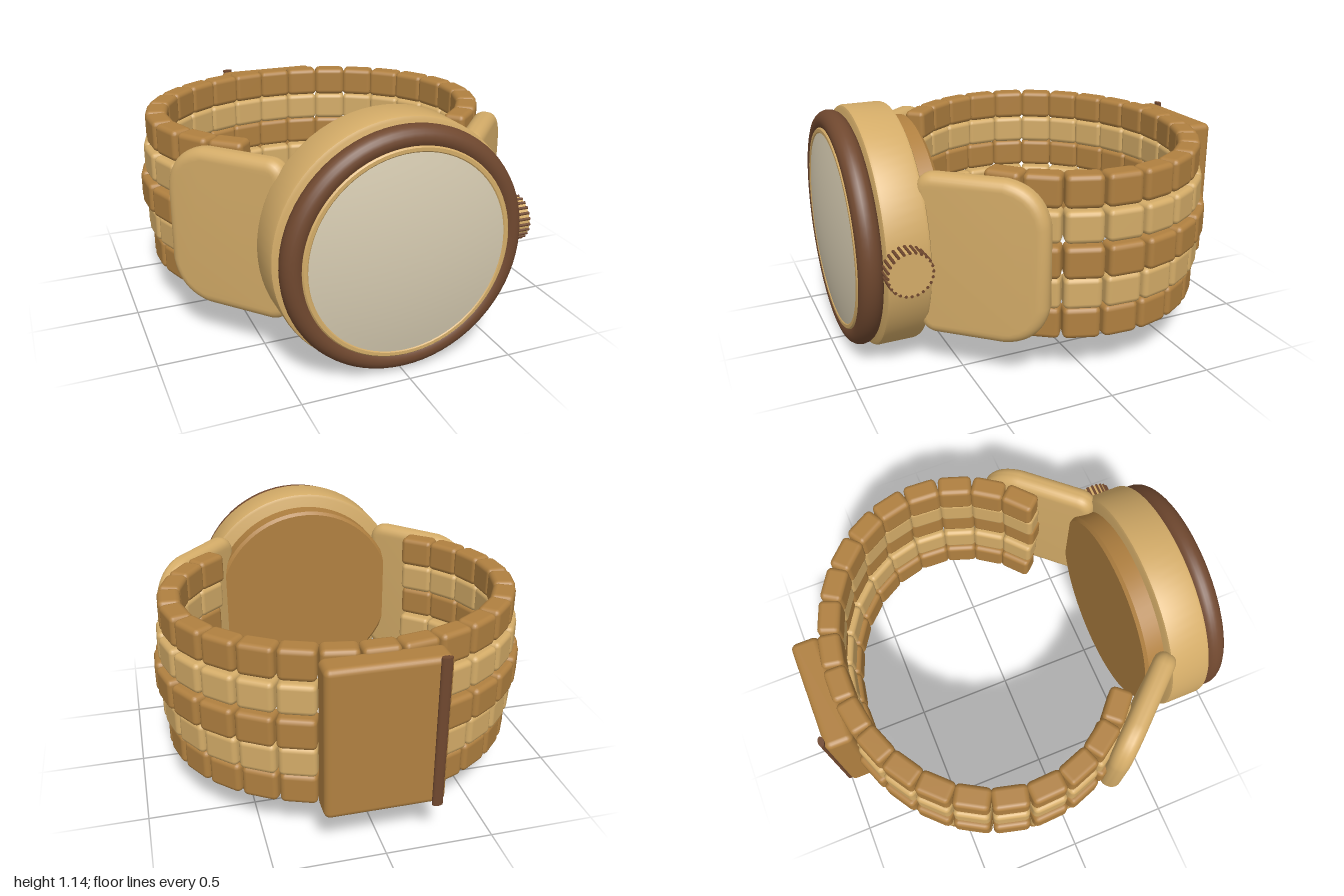
import * as THREE from 'three';
import { RoundedBoxGeometry } from 'three/addons/geometries/RoundedBoxGeometry.js';
import { toCreasedNormals } from 'three/addons/utils/BufferGeometryUtils.js';

const CY = 0.572; // height of the dial axis

function material(name, color) {
  const m = new THREE.MeshStandardMaterial({ color });
  m.name = name;
  return m;
}

export function createModel() {
  const model = new THREE.Group();
  model.name = 'wristwatch';
  const lightGold = material('light gold', 0xd4ac68);
  const darkGold = material('dark gold', 0xb08040);
  const brown = material('brown', 0x70482f);
  const cream = material('cream', 0xd5cab0);

  function add(name, geometry, mat, parent = model) {
    const mesh = new THREE.Mesh(geometry, mat);
    mesh.name = name;
    parent.add(mesh);
    return mesh;
  }

  // Turned part on the dial axis; profile points are [radius, z], back to front
  function turned(name, profile, mat) {
    const pts = profile.map(([r, z]) => new THREE.Vector2(r, z));
    const geo = toCreasedNormals(new THREE.LatheGeometry(pts, 72), 0.6);
    geo.rotateX(Math.PI / 2);
    add(name, geo, mat).position.y = CY;
  }

  // Case, back plate, bezel, inner ring and domed glass
  turned('backPlate', [[0, 0.55], [0.485, 0.55], [0.5, 0.565], [0.5, 0.66]], darkGold);
  turned('case', [[0, 0.65], [0.555, 0.65], [0.568, 0.656], [0.572, 0.668],
    [0.572, 0.835], [0.568, 0.846], [0.555, 0.852], [0, 0.852]], lightGold);
  const bezel = [];
  for (let i = 0; i <= 16; i++) {
    const a = -Math.PI / 2 + (i / 16) * Math.PI * 1.5;
    bezel.push([0.503 + 0.052 * Math.cos(a), 0.904 + 0.054 * Math.sin(a)]);
  }
  turned('bezel', bezel, brown);
  turned('innerRing', [[0.476, 0.86], [0.476, 0.952], [0.47, 0.958], [0.455, 0.958], [0.445, 0.95]], lightGold);
  const dome = [];
  for (let i = 0; i <= 10; i++) {
    const r = 0.452 * (1 - i / 10);
    dome.push([r, 0.954 + 0.046 * (1 - (r / 0.452) ** 2)]);
  }
  turned('glass', dome, cream);

  // Winding crown with ribs around its rim
  const crown = new THREE.Group();
  crown.name = 'crown';
  crown.position.set(0.6, CY, 0.77);
  crown.rotation.z = -Math.PI / 2;
  model.add(crown);
  add('crownStem', new THREE.CylinderGeometry(0.05, 0.05, 0.08, 24), lightGold, crown).position.y = -0.03;
  add('crownKnob', new THREE.CylinderGeometry(0.098, 0.098, 0.076, 40), lightGold, crown).position.y = 0.006;
  for (let i = 0; i < 24; i++) {
    const a = (i / 24) * Math.PI * 2;
    add('crownRib', new THREE.CylinderGeometry(0.007, 0.007, 0.08, 8), brown, crown)
      .position.set(0.098 * Math.cos(a), 0.006, 0.098 * Math.sin(a));
  }

  // Padded lugs: rounded plates leaning back from the case to the band
  const bevel = 0.048, hx = 0.3 - bevel, hy = 0.375 - bevel, ro = 0.15, ri = 0.04;
  const s = new THREE.Shape();
  s.moveTo(-hx + ri, -hy);
  s.lineTo(hx - ro, -hy);
  s.quadraticCurveTo(hx - 0.02, -hy + 0.02, hx, -hy + ro);
  s.lineTo(hx, hy - ro);
  s.quadraticCurveTo(hx - 0.02, hy - 0.02, hx - ro, hy);
  s.lineTo(-hx + ri, hy);
  s.quadraticCurveTo(-hx, hy, -hx, hy - ri);
  s.lineTo(-hx, -hy + ri);
  s.quadraticCurveTo(-hx, -hy, -hx + ri, -hy);
  const lugGeo = toCreasedNormals(new THREE.ExtrudeGeometry(s, {
    depth: 0.012, bevelThickness: bevel, bevelSize: bevel, bevelSegments: 6, curveSegments: 10,
  }).translate(0, 0, -0.006), 0.7);
  for (const [name, side] of [['leftLug', 1], ['rightLug', -1]]) {
    const lug = add(name, lugGeo, lightGold);
    lug.position.set(side * 0.625, CY + 0.003, 0.44);
    lug.rotation.y = side > 0 ? 0.837 : Math.PI - 0.837;
  }

  // Band: five rows of links spaced evenly along an open ellipse
  const A = 0.795, B = 0.67, ZC = -0.15, pitch = 0.168, stations = [0];
  let t = 0, travelled = 0;
  while (stations.length < 11) {
    travelled += 0.001 * Math.hypot(A * Math.cos(t), B * Math.sin(t));
    t += 0.001;
    if (travelled >= pitch * stations.length) stations.push(t);
  }
  const angles = [...stations.slice(1).map((a) => -a), ...stations];
  const rows = [
    { name: 'outerLink', y: 0.306, out: 0.005, h: 0.15, mat: darkGold },
    { name: 'lightLink', y: 0.153, out: 0.022, h: 0.147, mat: lightGold },
    { name: 'middleLink', y: 0, out: 0.045, h: 0.15, mat: darkGold },
    { name: 'lightLink', y: -0.153, out: 0.022, h: 0.147, mat: lightGold },
    { name: 'outerLink', y: -0.306, out: 0.005, h: 0.15, mat: darkGold },
  ];
  const band = new THREE.Group();
  band.name = 'band';
  model.add(band);
  for (const row of rows) {
    const geo = new RoundedBoxGeometry(0.167 + row.out * 0.2, row.h, 0.108, 2, 0.025);
    for (const a of angles) {
      const n = new THREE.Vector2(Math.sin(a) / A, -Math.cos(a) / B).normalize();
      const link = add(row.name, geo, row.mat, band);
      link.position.set(A * Math.sin(a) + n.x * row.out, CY + 0.004 + row.y, ZC - B * Math.cos(a) + n.y * row.out);
      link.rotation.y = Math.atan2(n.x, n.y);
    }
  }

  // Clasp with a release rod along one edge
  add('clasp', new RoundedBoxGeometry(0.545, 0.72, 0.135, 3, 0.03), darkGold).position.set(0, CY + 0.003, -0.913);
  const rod = add('claspRod', new THREE.CylinderGeometry(0.014, 0.014, 0.725, 16), brown);
  rod.scale.x = 1.8;
  rod.position.set(-0.23, CY + 0.006, -0.986);

  return model;
}
